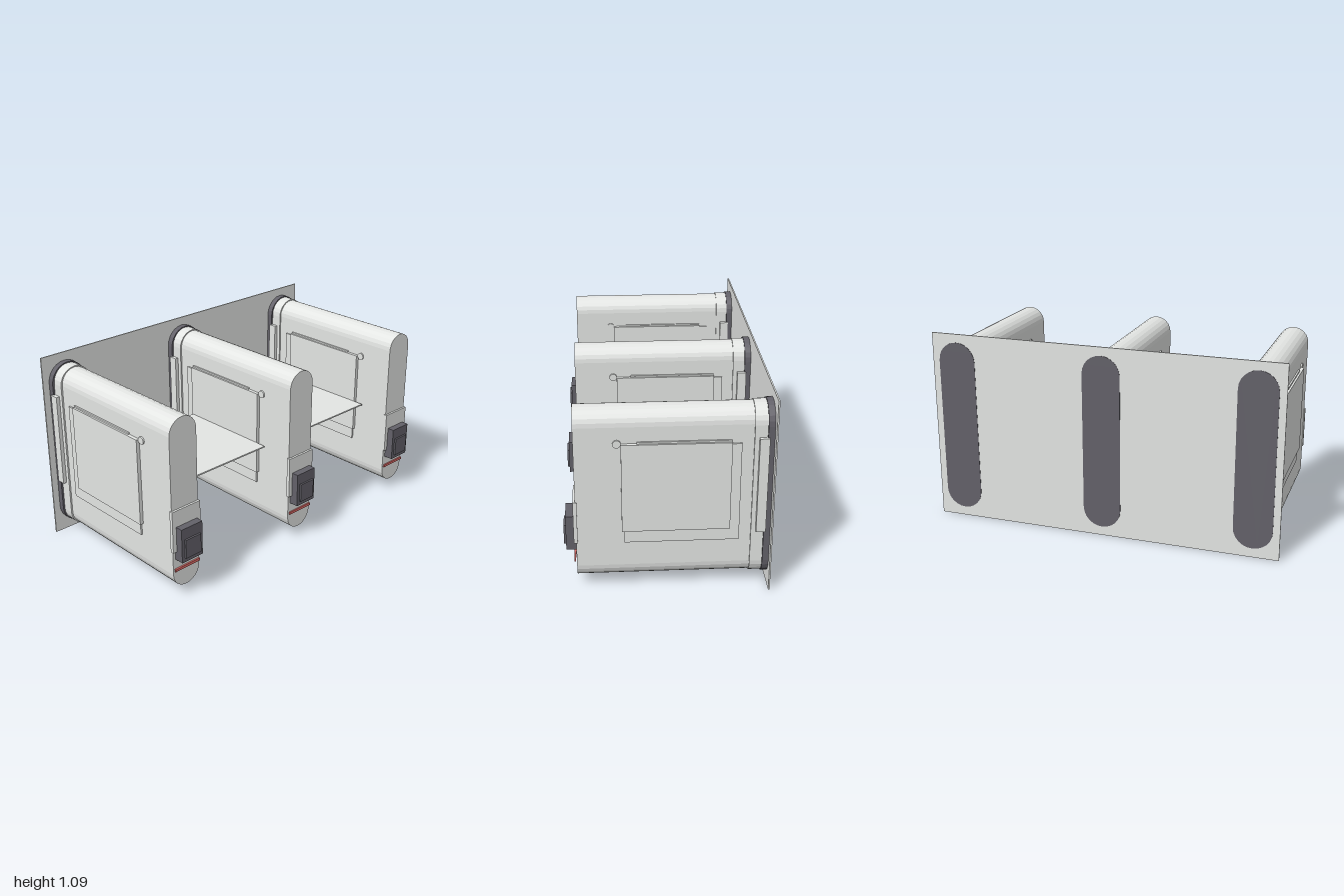
import * as THREE from 'three';

const grey = new THREE.MeshStandardMaterial({ color: 0xe3e5e3 });
grey.name = 'lightGrey';
const dark = new THREE.MeshStandardMaterial({ color: 0x636169 });
dark.name = 'darkGrey';
const red = new THREE.MeshStandardMaterial({ color: 0xdc6a67 });
red.name = 'red';

function add(parent, name, geometry, material) {
  const mesh = new THREE.Mesh(geometry, material);
  mesh.name = name;
  parent.add(mesh);
  return mesh;
}

// Box given by its limits on each axis
function box(parent, name, material, [x0, x1], [y0, y1], [z0, z1]) {
  const mesh = add(parent, name, new THREE.BoxGeometry(x1 - x0, y1 - y0, z1 - z0), material);
  mesh.position.set((x0 + x1) / 2, (y0 + y1) / 2, (z0 + z1) / 2);
  return mesh;
}

// Upright round-ended slab, extruded from z0 to z1
function slab(parent, name, material, r, [y0, y1], [z0, z1]) {
  const shape = new THREE.Shape();
  shape.absarc(0, y1 - r, r, 0, Math.PI, false);
  shape.absarc(0, y0 + r, r, Math.PI, Math.PI * 2, false);
  shape.closePath();
  const geometry = new THREE.ExtrudeGeometry(shape, { depth: z1 - z0, bevelEnabled: false, curveSegments: 6 });
  geometry.translate(0, 0, z0);
  return add(parent, name, geometry, material);
}

function createPedestal() {
  const pedestal = new THREE.Group();
  pedestal.name = 'pedestal';

  // Body with stepped collars; the dark mount passes through the back panel
  slab(pedestal, 'body', grey, 0.088, [0.062, 1.03], [-0.44, 0.473]);
  slab(pedestal, 'collar', grey, 0.097, [0.056, 1.036], [-0.5, -0.428]);
  slab(pedestal, 'wallMount', dark, 0.108, [0.052, 1.042], [-0.537, -0.493]);

  // Front plate, reader and light strip
  box(pedestal, 'frontPlate', grey, [-0.094, 0.094], [0.29, 0.53], [0.465, 0.485]);
  box(pedestal, 'reader', dark, [-0.07, 0.07], [0.24, 0.436], [0.473, 0.526]);
  box(pedestal, 'readerScreen', dark, [-0.051, 0.051], [0.265, 0.373], [0.52, 0.537]);
  box(pedestal, 'lightStrip', red, [-0.083, 0.083], [0.173, 0.188], [0.478, 0.487]);

  // Layered panels, knob and rear rail on both sides
  for (const s of [-1, 1]) {
    const side = (name, outer, y, z) =>
      box(pedestal, name, grey, s > 0 ? [0.08, outer] : [-outer, -0.08], y, z);
    side('backingPanel', 0.098, [0.29, 0.842], [-0.367, 0.225]);
    side('topRail', 0.097, [0.84, 0.862], [-0.318, 0.157]);
    side('sidePanel', 0.108, [0.36, 0.853], [-0.318, 0.237]);
    side('rearRail', 0.118, [0.34, 0.873], [-0.502, -0.452]);

    const knob = add(pedestal, 'knob', new THREE.CylinderGeometry(0.021, 0.021, 0.014, 24), grey);
    knob.rotation.z = Math.PI / 2;
    knob.position.set(s * 0.089, 0.853, 0.257);
  }
  return pedestal;
}

export function createModel() {
  const model = new THREE.Group();
  model.name = 'gateRow';

  box(model, 'backPanel', grey, [-1, 1], [0, 1.09], [-0.535, -0.527]);

  for (const x of [-0.853, 0, 0.853]) {
    const pedestal = createPedestal();
    pedestal.position.x = x;
    model.add(pedestal);
  }

  // Flat barriers spanning the two lanes
  for (const x of [-0.4265, 0.4265]) {
    box(model, 'barrier', grey, [x - 0.319, x + 0.319], [0.544, 0.552], [-0.312, 0.3]);
  }
  return model;
}
